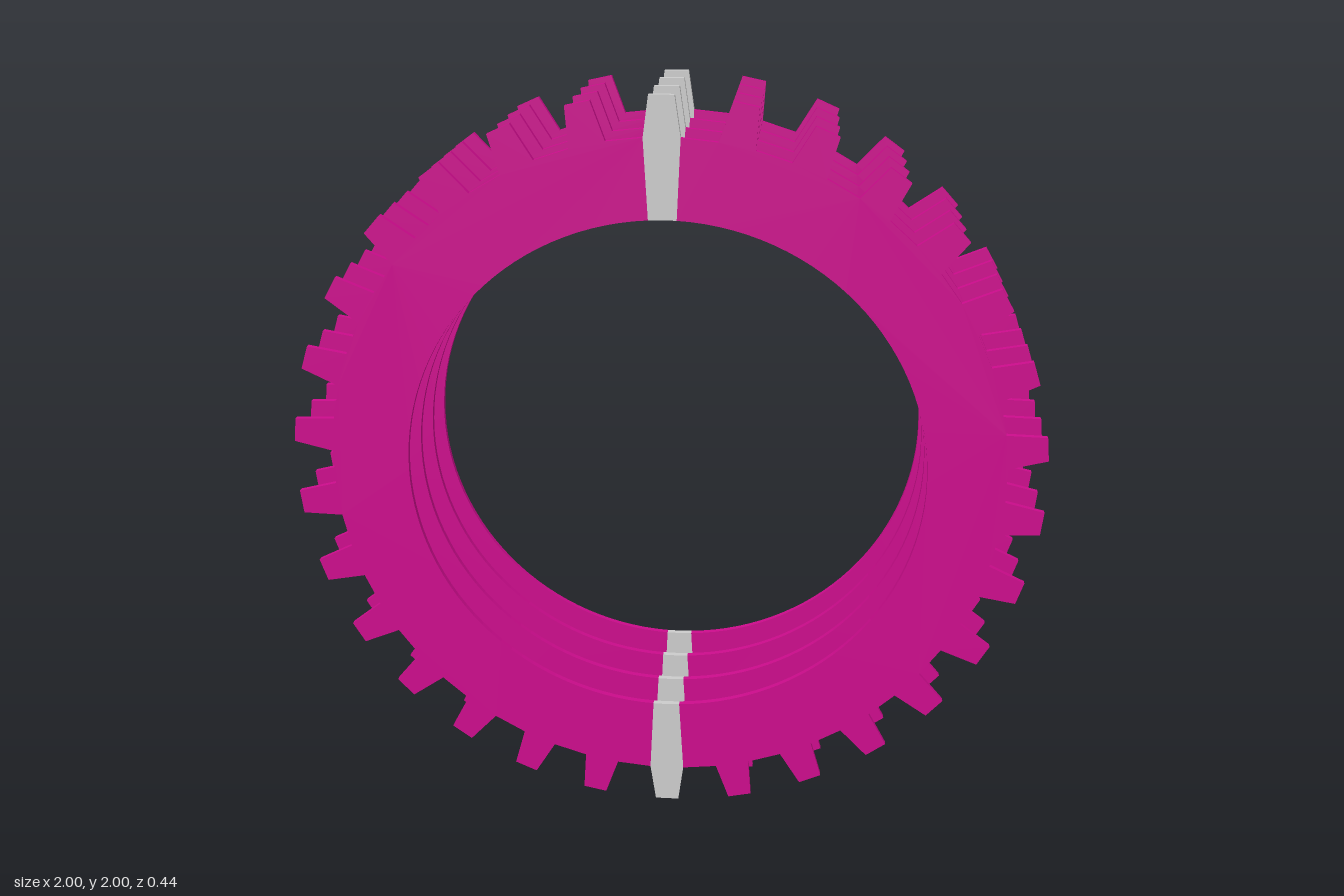
import * as THREE from 'three';

const TEETH = 30, STEP = 360 / TEETH;
const INNER = 0.69, ROOT = 0.896, TIP = 1.0;
const ROOT_HALF = 3, TIP_HALF = 1.85; // half widths of a tooth, in degrees
const DEPTH = 0.016, SPACING = 0.142, TURN = 0.35;

const polar = (r, deg) => {
  const a = THREE.MathUtils.degToRad(deg + 90 + TURN);
  return new THREE.Vector2(r * Math.cos(a), r * Math.sin(a));
};

// Piece of toothed ring from one angle to another, carrying the teeth first..last
function ringPiece(from, to, first, last) {
  const points = [polar(ROOT, from)];
  for (let i = first; i <= last; i++) {
    const c = i * STEP;
    if (c - ROOT_HALF > from) points.push(polar(ROOT, c - ROOT_HALF));
    points.push(polar(TIP, c - TIP_HALF), polar(TIP, c + TIP_HALF));
    if (c + ROOT_HALF < to) points.push(polar(ROOT, c + ROOT_HALF));
  }
  points.push(polar(ROOT, to));
  const n = Math.round((to - from) / 3);
  for (let i = n; i >= 0; i--) points.push(polar(INNER, from + ((to - from) * i) / n));
  const geometry = new THREE.ExtrudeGeometry(new THREE.Shape(points), { depth: DEPTH, bevelEnabled: false });
  return geometry.translate(0, 0, -DEPTH / 2);
}

export function createModel() {
  const model = new THREE.Group();
  model.name = 'toothedRings';
  const pink = new THREE.MeshStandardMaterial({ color: 0xcc0c8c });
  const grey = new THREE.MeshStandardMaterial({ color: 0xcccccc });

  const half = TEETH / 2;
  const band = ringPiece(ROOT_HALF, 180 - ROOT_HALF, 1, half - 1);
  const marker = ringPiece(-ROOT_HALF, ROOT_HALF, 0, 0);

  // Four thin parallel rings, each of two toothed halves and two grey marker teeth
  for (let k = 0; k < 4; k++) {
    const ring = new THREE.Group();
    ring.name = `ring${k + 1}`;
    ring.position.set(0, 1, (1.5 - k) * SPACING);
    ['left', 'right'].forEach((side, i) => {
      const mesh = new THREE.Mesh(band, pink);
      mesh.name = i ? 'leftHalf' : 'rightHalf';
      mesh.rotation.z = i * Math.PI;
      const tooth = new THREE.Mesh(marker, grey);
      tooth.name = i ? 'bottomMarkerTooth' : 'topMarkerTooth';
      tooth.rotation.z = i * Math.PI;
      ring.add(mesh, tooth);
    });
    model.add(ring);
  }
  return model;
}
